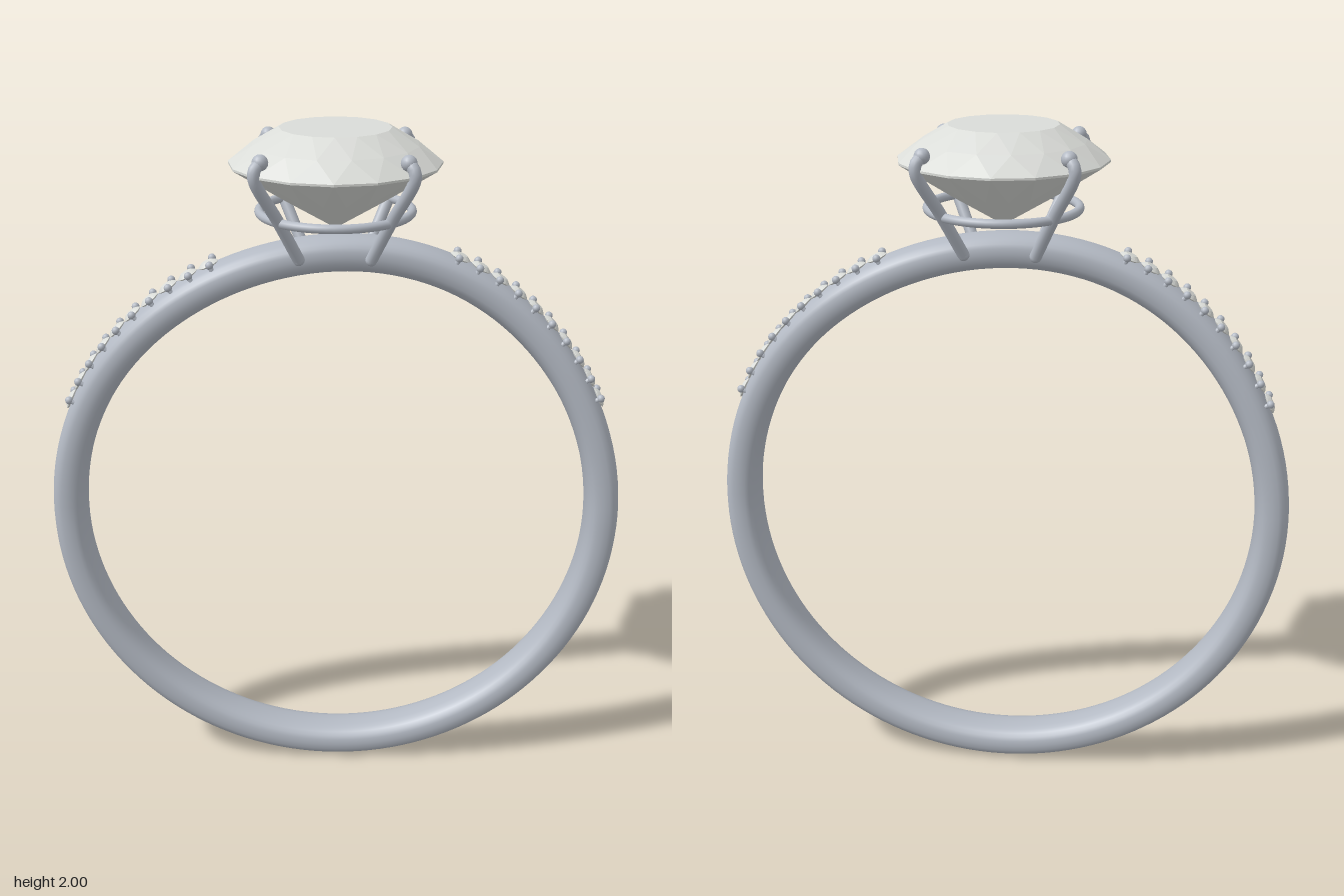
import * as THREE from 'three';
import { ConvexGeometry } from 'three/addons/geometries/ConvexGeometry.js';

const CENTER_Y = 0.85, BAND_R = 0.8, HALF_T = 0.05, HALF_W = 0.07;

// sideways sweep of the band at angle a from the top (positive towards +x)
function sweep(a) {
  if (Math.abs(a) >= Math.PI / 2) return 0;
  return -0.039 * Math.sin(2 * a) * (1 + 0.65 * Math.cos(2 * a));
}

// point at angle a, radius r, and distance w across the band
function onBand(a, r, w) {
  return new THREE.Vector3(Math.sin(a) * r, CENTER_Y + Math.cos(a) * r, sweep(a) + w);
}

// closed band: soft rounded section swept around the finger
function bandGeometry(steps = 144, sides = 24) {
  const pos = [], index = [];
  const soft = v => Math.sign(v) * Math.pow(Math.abs(v), 0.8);
  for (let i = 0; i < steps; i++) {
    const a = (i / steps) * Math.PI * 2 - Math.PI;
    for (let j = 0; j < sides; j++) {
      const b = (j / sides) * Math.PI * 2;
      const p = onBand(a, BAND_R + HALF_T * soft(Math.cos(b)), HALF_W * soft(Math.sin(b)));
      pos.push(p.x, p.y, p.z);
      const i2 = (i + 1) % steps, j2 = (j + 1) % sides;
      const A = i * sides + j, B = i * sides + j2, C = i2 * sides + j2, D = i2 * sides + j;
      index.push(A, B, D, B, C, D);
    }
  }
  const g = new THREE.BufferGeometry();
  g.setAttribute('position', new THREE.Float32BufferAttribute(pos, 3));
  g.setIndex(index);
  g.computeVertexNormals();
  return g;
}

// round brilliant cut with its girdle at the origin
function gemGeometry() {
  const n = 16, pts = [new THREE.Vector3(0, -0.185, 0)];
  const rings = [[0.155, 0.095, 0], [0.232, 0.05, 0.5], [0.296, 0.002, 0], [0.296, -0.004, 0], [0.157, -0.092, 0.5]];
  for (const [r, y, shift] of rings) {
    for (let i = 0; i < n; i++) {
      const a = ((i + shift) / n) * Math.PI * 2;
      pts.push(new THREE.Vector3(Math.sin(a) * r, y, Math.cos(a) * r));
    }
  }
  return new ConvexGeometry(pts);
}

export function createModel() {
  const metal = new THREE.MeshStandardMaterial({ color: 0xb4bac4 });
  metal.name = 'silver metal';
  const crystal = new THREE.MeshStandardMaterial({ color: 0xdadcd8 });
  crystal.name = 'clear crystal';

  const model = new THREE.Group();
  model.name = 'ring';
  const add = (parent, name, geometry, material) => {
    const m = new THREE.Mesh(geometry, material);
    m.name = name;
    parent.add(m);
    return m;
  };

  add(model, 'band', bandGeometry(), metal);

  // main stone
  const gem = gemGeometry();
  add(model, 'mainStone', gem, crystal).position.y = 1.905;

  // setting: gallery ring and four prongs gripping the girdle
  const setting = new THREE.Group();
  setting.name = 'setting';
  model.add(setting);
  const gallery = add(setting, 'galleryRing', new THREE.TorusGeometry(0.213, 0.013, 12, 64), metal);
  gallery.rotation.x = Math.PI / 2;
  gallery.position.y = 1.77;

  const path = new THREE.CatmullRomCurve3([[0.1, 1.655], [0.155, 1.78], [0.211, 1.9], [0.209, 1.925], [0.195, 1.942]]
    .map(([d, y]) => new THREE.Vector3(d, y, d)));
  const prongGeo = new THREE.TubeGeometry(path, 28, 0.017, 12);
  const tipGeo = new THREE.SphereGeometry(0.022, 16, 12);
  const footGeo = new THREE.SphereGeometry(0.017, 12, 8);
  for (let k = 0; k < 4; k++) {
    const prong = new THREE.Group();
    prong.name = 'prong';
    prong.rotation.y = k * Math.PI / 2;
    add(prong, 'prongStem', prongGeo, metal);
    add(prong, 'prongTip', tipGeo, metal).position.set(0.195, 1.942, 0.195);
    add(prong, 'prongFoot', footGeo, metal).position.set(0.1, 1.655, 0.1);
    setting.add(prong);
  }

  // rows of small stones with holding beads on both shoulders
  const beadGeo = new THREE.SphereGeometry(0.0115, 12, 8);
  const pegGeo = new THREE.CylinderGeometry(0.007, 0.007, 0.03, 8);
  const count = 10, start = 0.43, stepA = 0.078;
  for (const side of [1, -1]) {
    const row = new THREE.Group();
    row.name = side > 0 ? 'leftShoulderStones' : 'rightShoulderStones';
    model.add(row);
    for (let i = 0; i < count; i++) {
      const a = side * (start + i * stepA);
      const stone = add(row, 'smallStone', gem, crystal);
      stone.scale.setScalar(0.105);
      stone.position.copy(onBand(a, 0.853, 0));
      stone.rotation.z = -a;
      const ab = a + side * stepA * 0.5 - side * 0.05;
      for (const w of [-0.042, 0.042]) {
        add(row, 'bead', beadGeo, metal).position.copy(onBand(ab, 0.857, w));
        const peg = add(row, 'beadPeg', pegGeo, metal);
        peg.position.copy(onBand(ab, 0.842, w));
        peg.rotation.z = -ab;
      }
    }
  }
  return model;
}
